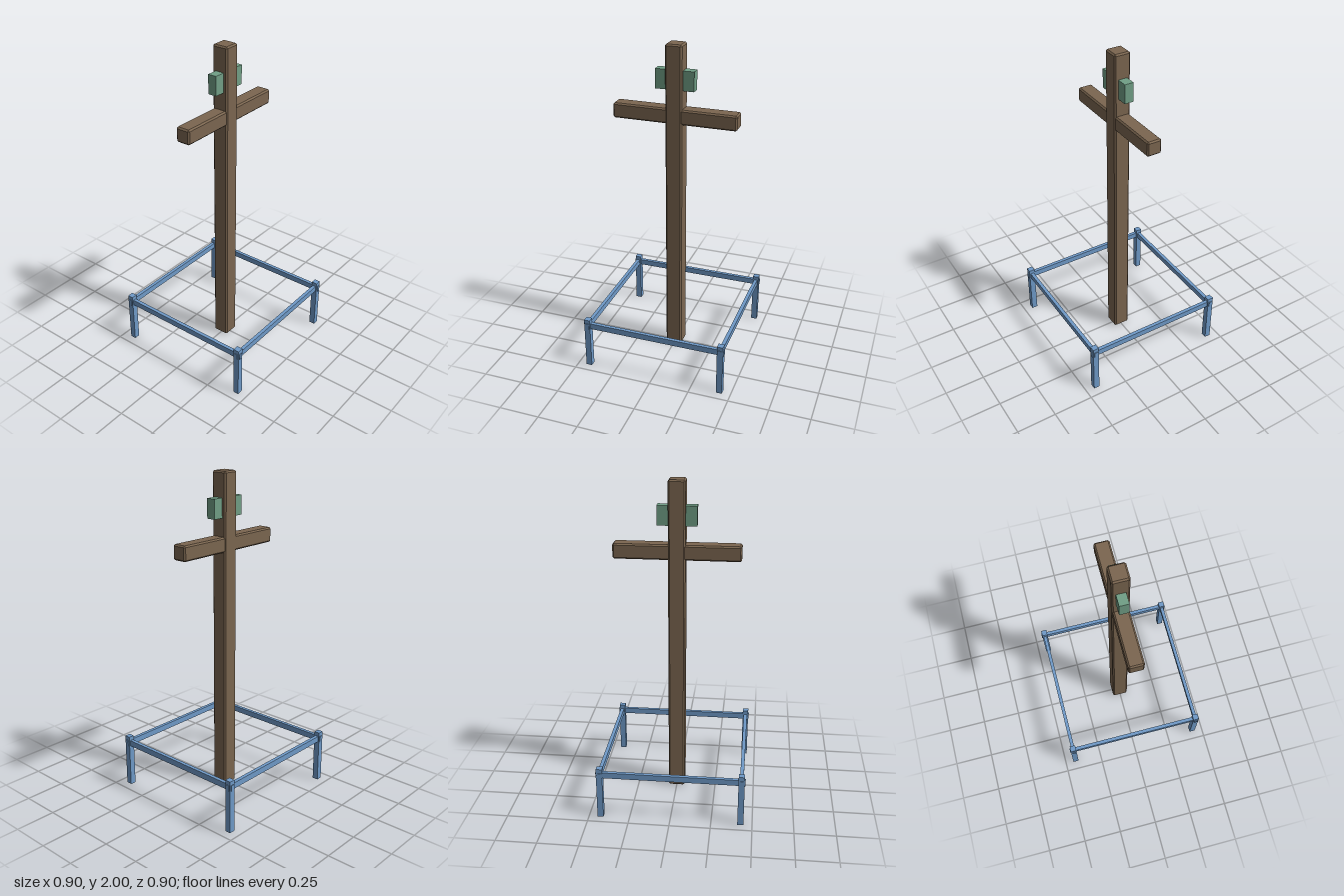
import * as THREE from 'three';
import { ConvexGeometry } from 'three/addons/geometries/ConvexGeometry.js';

// Box with every edge cut by a flat chamfer c
function chamferedBox(w, h, d, c) {
  const points = [];
  for (const sx of [-1, 1]) for (const sy of [-1, 1]) for (const sz of [-1, 1]) {
    for (let face = 0; face < 3; face++) {
      const p = [w / 2 - c, h / 2 - c, d / 2 - c];
      p[face] += c;
      points.push(new THREE.Vector3(sx * p[0], sy * p[1], sz * p[2]));
    }
  }
  return new ConvexGeometry(points);
}

export function createModel() {
  const model = new THREE.Group();
  model.name = 'fencedCross';

  const material = (name, color) => {
    const m = new THREE.MeshStandardMaterial({ color });
    m.name = name;
    return m;
  };
  const wood = material('brownWood', 0x7b6650);
  const green = material('green', 0x719f86);
  const blue = material('blue', 0x6f9ac8);

  const add = (name, geometry, mat, x, y, z, parent = model) => {
    const mesh = new THREE.Mesh(geometry, mat);
    mesh.name = name;
    mesh.position.set(x, y, z);
    parent.add(mesh);
  };

  // Wooden cross
  add('upright', chamferedBox(0.102, 1.995, 0.102, 0.009), wood, 0, 1.0025, 0);
  add('crossbeam', chamferedBox(0.762, 0.092, 0.092, 0.009), wood, 0, 1.575, 0);

  // Small blocks either side of the upright
  const block = new THREE.BoxGeometry(0.071, 0.118, 0.056);
  add('leftBlock', block, green, 0.0825, 1.79, 0);
  add('rightBlock', block, green, -0.0825, 1.79, 0);

  // Square fence: four posts, four rails whose ends pass through them
  const fence = new THREE.Group();
  fence.name = 'fence';
  model.add(fence);
  const r = 0.429;
  const post = new THREE.BoxGeometry(0.037, 0.333, 0.037);
  const railX = new THREE.BoxGeometry(0.904, 0.037, 0.022);
  const railZ = new THREE.BoxGeometry(0.022, 0.037, 0.904);
  for (const s of [-1, 1]) {
    for (const t of [-1, 1]) add('fencePost', post, blue, s * r, 0.1665, t * r, fence);
    add(s > 0 ? 'frontRail' : 'backRail', railX, blue, 0, 0.289, s * r, fence);
    add(s > 0 ? 'leftRail' : 'rightRail', railZ, blue, s * r, 0.289, 0, fence);
  }

  return model;
}
